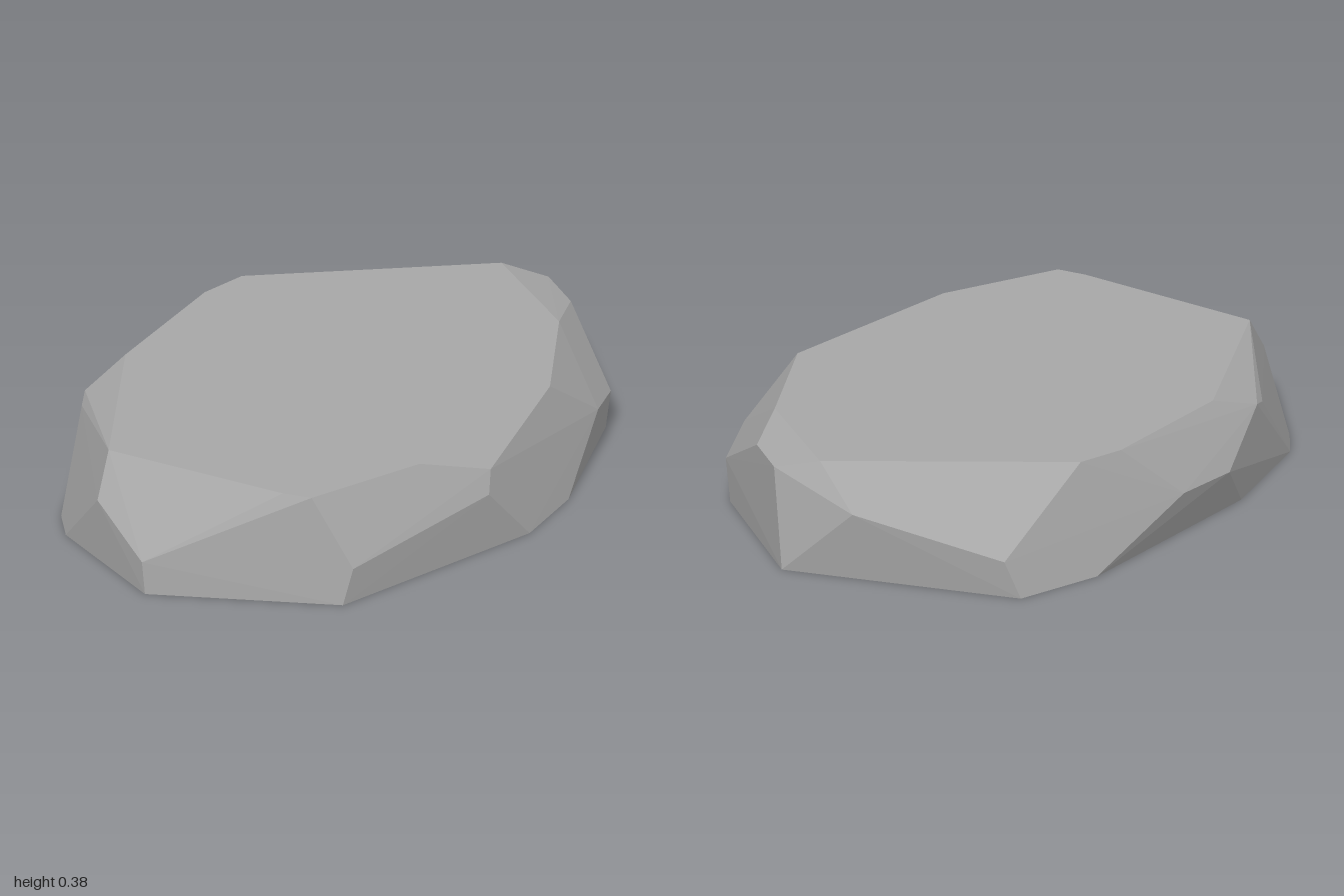
import * as THREE from 'three';
import { ConvexGeometry } from 'three/addons/geometries/ConvexGeometry.js';

const TOP = 0.375;

// Rim of the flat upper face (x, z)
const topRim = [
  [-0.89, -0.115], [-0.65, 0.475], [-0.6, 0.56], [-0.19, 0.637], [0.46, 0.557],
  [0.76, 0.27], [0.87, -0.135], [0.18, -0.645], [0.02, -0.65], [-0.44, -0.53],
];

// Rim of the flat underside (x, z)
const baseRim = [
  [-1, 0.185], [-0.565, 0.675], [0.2, 0.745], [0.44, 0.67], [0.84, 0.41], [1, -0.1],
  [0.49, -0.737], [0.19, -0.75], [-0.53, -0.565], [-0.87, -0.37], [-0.94, -0.27],
];

// Chipped corners around the sides (x, y, z)
const chips = [
  [-1, 0.115, 0.17], [-0.53, 0.13, 0.687], [0.02, 0.22, 0.745], [0.05, 0.295, 0.72],
  [0.68, 0.195, 0.55], [0.84, 0.15, 0.435], [0.92, 0.335, 0.15], [0.97, 0.335, -0.015],
  [0.865, 0.245, -0.31], [0.53, 0.13, -0.7], [-0.185, 0.185, -0.72], [-0.41, 0.175, -0.665],
  [-0.62, 0.31, -0.53], [-0.67, 0.29, -0.49], [-0.98, 0.238, -0.07],
];

export function createModel() {
  const group = new THREE.Group();
  group.name = 'flatRock';

  const stone = new THREE.MeshStandardMaterial({ color: 0xa6a6a6 });
  stone.name = 'stoneGrey';

  // One faceted slab wrapped around both rims and the chips
  const points = [
    ...topRim.map(([x, z]) => new THREE.Vector3(x, TOP, z)),
    ...baseRim.map(([x, z]) => new THREE.Vector3(x, 0, z)),
    ...chips.map((p) => new THREE.Vector3(...p)),
  ];
  const slab = new THREE.Mesh(new ConvexGeometry(points), stone);
  slab.name = 'stoneSlab';
  group.add(slab);

  return group;
}
